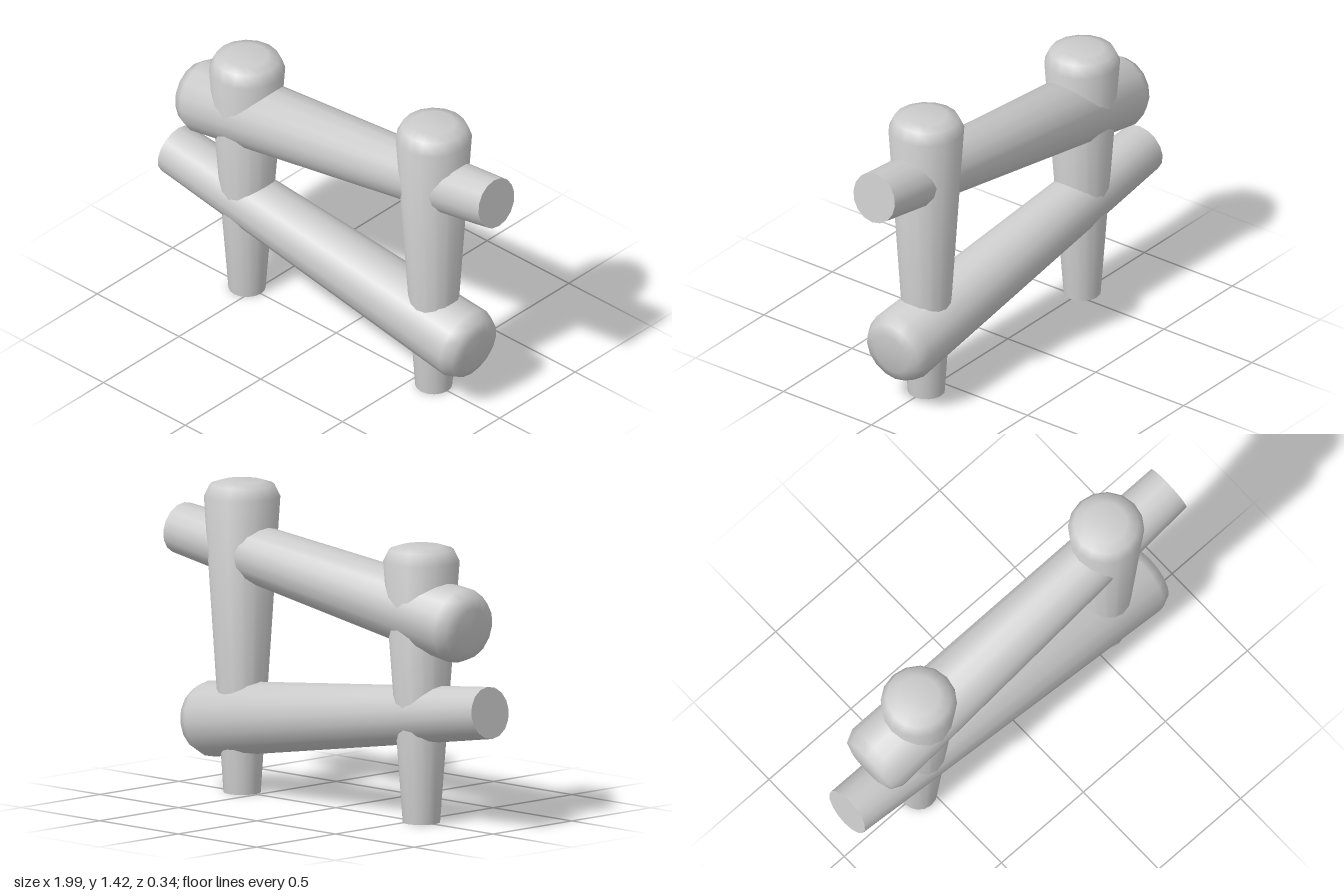
import * as THREE from 'three';
import { toCreasedNormals } from 'three/addons/utils/BufferGeometryUtils.js';

// Tapered log along +y: flat thin end at 0, rounded thick end at the given length
function logGeometry(length, thin, thick) {
  const profile = [
    [0, 0],
    [thin, 0],
    [thick, length - 0.07],
    [thick - 0.026, length - 0.016],
    [thick - 0.075, length],
    [0, length],
  ].map(([r, y]) => new THREE.Vector2(r, y));
  return toCreasedNormals(new THREE.LatheGeometry(profile, 16), 1.2);
}

export function createModel() {
  const group = new THREE.Group();
  const material = new THREE.MeshStandardMaterial({ color: 0xcccccc });
  const up = new THREE.Vector3(0, 1, 0);

  // Each log runs from the centre of its thin end to the centre of its thick end
  function addLog(name, from, to, thin) {
    const start = new THREE.Vector3(...from);
    const axis = new THREE.Vector3(...to).sub(start);
    const mesh = new THREE.Mesh(logGeometry(axis.length(), thin, 0.172), material);
    mesh.name = name;
    mesh.position.copy(start);
    mesh.quaternion.setFromUnitVectors(up, axis.normalize());
    group.add(mesh);
  }

  // Upright posts
  addLog('rightPost', [-0.545, 0, 0], [-0.545, 1.26, 0], 0.084);
  addLog('leftPost', [0.597, 0, 0], [0.597, 1.42, 0], 0.084);

  // Sloping rails, passing through both posts
  addLog('upperRail', [0.98, 1.16, 0], [-0.865, 0.915, 0], 0.118);
  addLog('lowerRail', [-0.982, 0.55, 0], [0.86, 0.302, 0], 0.118);

  return group;
}
